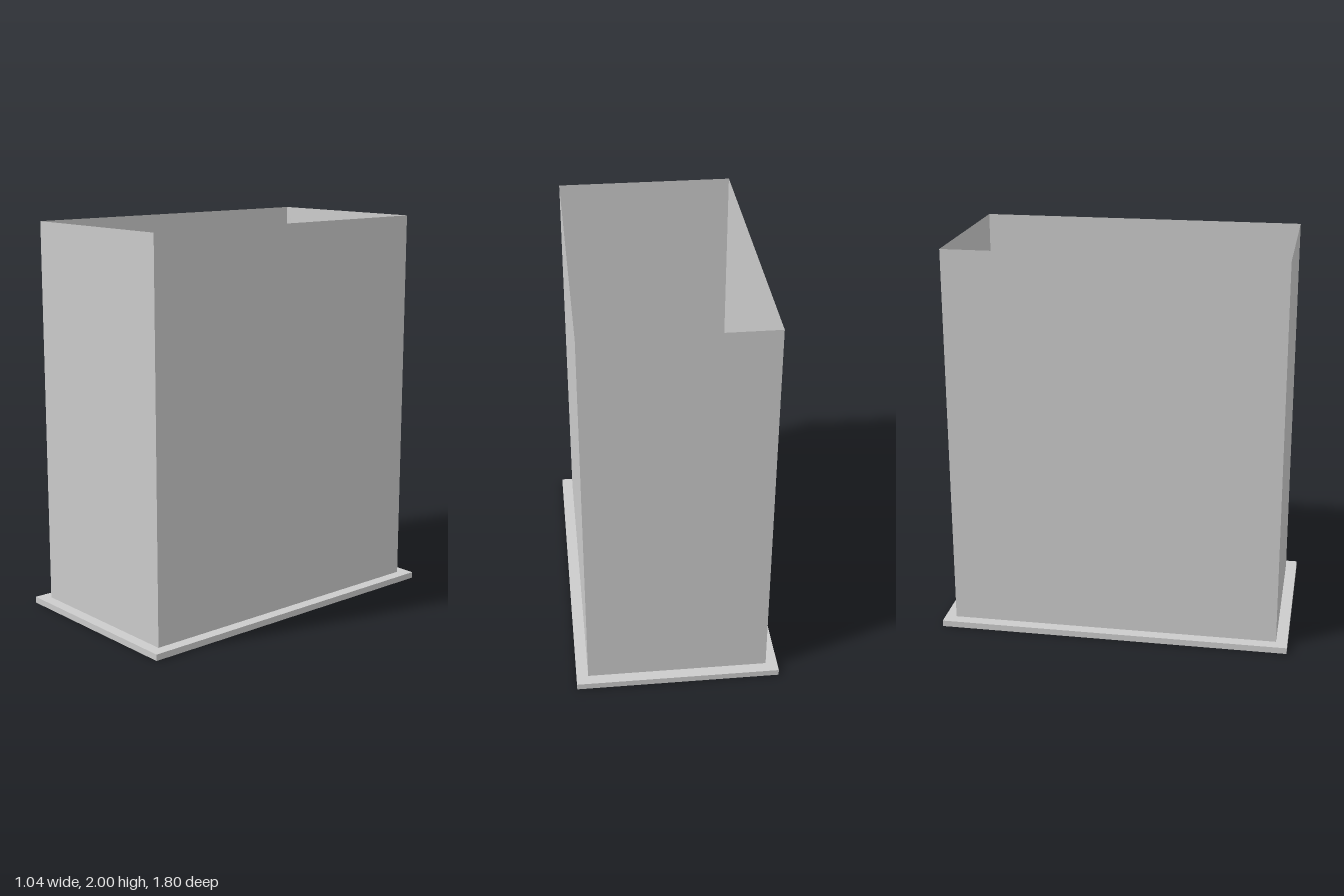
import * as THREE from 'three';

const material = new THREE.MeshStandardMaterial({ color: 0xcccccc, side: THREE.DoubleSide, flatShading: true });

// Thin-walled box standing on y = 0, keeping only the listed sides
// (0 right, 1 left, 2 top, 3 bottom, 4 front, 5 back).
function sheetBox(name, width, height, depth, sides) {
  const geometry = new THREE.BoxGeometry(width, height, depth).translate(0, height / 2, 0);
  const index = Array.from(geometry.index.array);
  geometry.setIndex(sides.flatMap((s) => index.slice(s * 6, s * 6 + 6)));
  geometry.clearGroups();
  const mesh = new THREE.Mesh(geometry, material);
  mesh.name = name;
  return mesh;
}

function rectangle(target, width, depth) {
  const x = width / 2, z = depth / 2;
  target.moveTo(-x, -z).lineTo(x, -z).lineTo(x, z).lineTo(-x, z).closePath();
  return target;
}

export function createModel() {
  const model = new THREE.Group();
  model.name = 'openBin';
  const width = 0.917, depth = 1.682, height = 2;
  const rimWidth = 1.036, rimDepth = 1.798, rimHeight = 0.032;

  // Tall container, open at the top, with its floor at ground level
  model.add(sheetBox('container', width, height, depth, [0, 1, 3, 4, 5]));

  // Base flange: flat ring around the walls with a short skirt, open beneath
  const flange = new THREE.Group();
  flange.name = 'baseFlange';
  flange.add(sheetBox('flangeSkirt', rimWidth, rimHeight, rimDepth, [0, 1, 4, 5]));

  const ring = rectangle(new THREE.Shape(), rimWidth, rimDepth);
  ring.holes.push(rectangle(new THREE.Path(), width, depth));
  const ringGeometry = new THREE.ShapeGeometry(ring).rotateX(-Math.PI / 2).translate(0, rimHeight, 0);
  const flangeTop = new THREE.Mesh(ringGeometry, material);
  flangeTop.name = 'flangeTop';
  flange.add(flangeTop);

  model.add(flange);
  return model;
}
